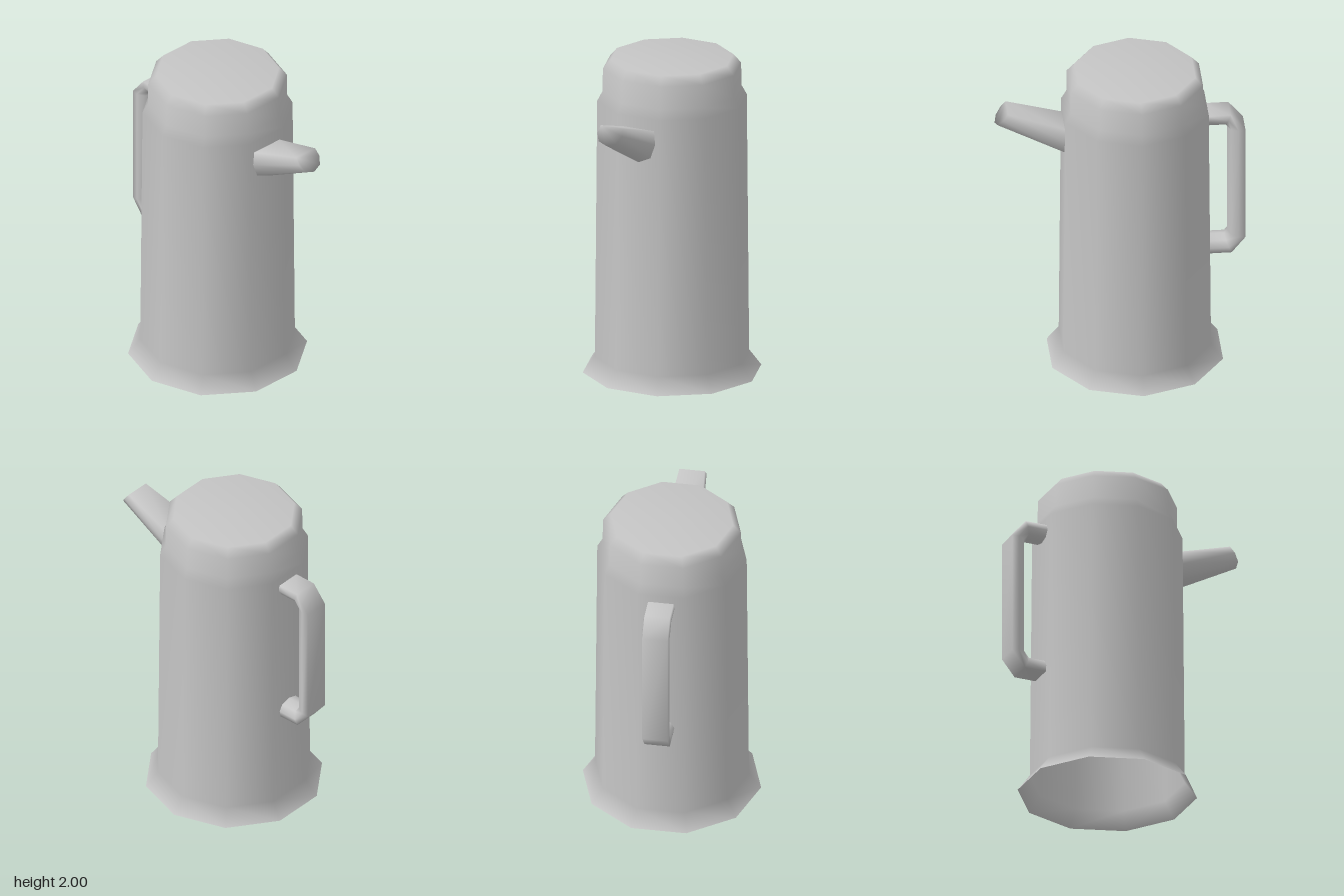
import * as THREE from 'three';

// D-shaped cross-section: x as a share of the half width, t from flat side (0) to round side (1)
const SECTION = [[-0.92, 0], [0.92, 0], [1, 0.4], [0.72, 0.82], [0, 1], [-0.72, 0.82], [-1, 0.4]];

// Lofts the section through stations [flatZ, flatY, roundZ, roundY, halfWidth]
function loft(stations, capEnd) {
  const n = SECTION.length, positions = [], index = [];
  for (const [z0, y0, z1, y1, w] of stations) {
    for (const [x, t] of SECTION) positions.push(x * w, y0 + (y1 - y0) * t, z0 + (z1 - z0) * t);
  }
  for (let i = 0; i < stations.length - 1; i++) {
    for (let j = 0; j < n; j++) {
      const a = i * n + j, b = i * n + (j + 1) % n;
      index.push(a, a + n, b, b, a + n, b + n);
    }
  }
  if (capEnd) {
    const e = (stations.length - 1) * n;
    for (let j = 1; j < n - 1; j++) index.push(e, e + j + 1, e + j);
  }
  const geometry = new THREE.BufferGeometry();
  geometry.setAttribute('position', new THREE.Float32BufferAttribute(positions, 3));
  geometry.setIndex(index);
  geometry.computeVertexNormals();
  return geometry;
}

export function createModel() {
  const group = new THREE.Group();
  const metal = new THREE.MeshStandardMaterial({ color: 0xc4c4c4, side: THREE.DoubleSide });
  metal.name = 'greyMetal';

  const add = (name, geometry) => {
    const mesh = new THREE.Mesh(geometry, metal);
    mesh.name = name;
    group.add(mesh);
    return mesh;
  };

  // Ten-sided pot: flared foot, tapering wall, stepped lid; open underneath
  const profile = [[0.55, 0], [0.475, 0.1], [0.461, 1.74], [0.428, 1.8], [0.426, 1.945], [0.378, 2], [0, 2]];
  const body = add('body', new THREE.LatheGeometry(
    profile.map(([r, y]) => new THREE.Vector2(r, y)), 10, Math.PI / 10));
  body.position.z = -0.095;

  // Spout: flat on top, rounded below, slanted tip
  add('spout', loft([
    [0.335, 1.665, 0.335, 1.447, 0.116],
    [0.69, 1.78, 0.765, 1.68, 0.085],
  ], true));

  // Handle: flat outside, rounded inside, from the lower joint to the upper one
  const w = 0.085;
  add('handle', loft([
    [-0.53, 0.705, -0.53, 0.8, w],
    [-0.68, 0.705, -0.64, 0.8, w],
    [-0.765, 0.81, -0.66, 0.825, w],
    [-0.765, 1.58, -0.66, 1.575, w],
    [-0.675, 1.69, -0.64, 1.6, w],
    [-0.525, 1.69, -0.525, 1.6, w],
  ], false));

  return group;
}
